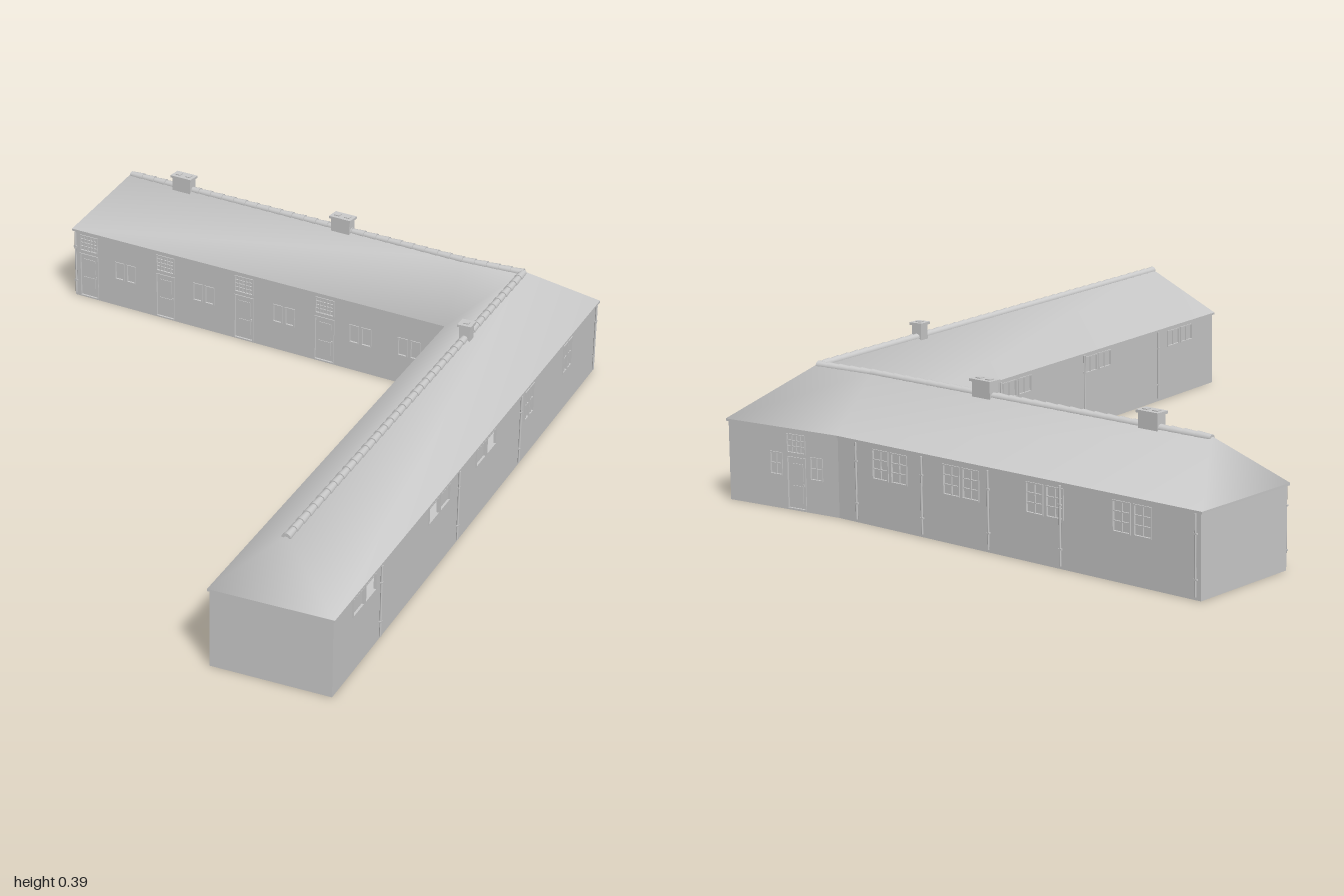
import * as THREE from 'three';

const mat = new THREE.MeshStandardMaterial({ color: 0xcccccc });
const thin = new THREE.MeshStandardMaterial({ color: 0xcccccc, side: THREE.DoubleSide });
const EAVE = 0.213, RIDGE = 0.35;

function add(parent, name, geo, x = 0, y = 0, z = 0, m = mat) {
  const mesh = new THREE.Mesh(geo, m);
  mesh.name = name;
  mesh.position.set(x, y, z);
  parent.add(mesh);
  return mesh;
}
const box = (parent, name, w, h, d, x, y, z) => add(parent, name, new THREE.BoxGeometry(w, h, d), x, y, z);

function rectPath(x0, y0, w, h, Type = THREE.Path) {
  return new Type([[x0, y0], [x0 + w, y0], [x0 + w, y0 + h], [x0, y0 + h]].map(p => new THREE.Vector2(...p)));
}

// Flat slab from plan points [x, z]
function slab(points, height) {
  const shape = new THREE.Shape(points.map(([x, z]) => new THREE.Vector2(x, -z)));
  return new THREE.ExtrudeGeometry(shape, { depth: height, bevelEnabled: false }).rotateX(-Math.PI / 2);
}

// Frame, glass and glazing bars for one opening, centred at u along the wall
function fitting(wall, { kind, u, y, w, h, cols = 1, rows = 1 }) {
  const g = new THREE.Group();
  g.name = kind;
  g.position.set(u, y, 0);
  wall.add(g);
  const t = 0.003;
  const frame = rectPath(-w / 2 - t, -t, w + 2 * t, h + 2 * t, THREE.Shape);
  frame.holes.push(rectPath(-w / 2, 0, w, h));
  add(g, 'frame', new THREE.ExtrudeGeometry(frame, { depth: 0.007, bevelEnabled: false }), 0, 0, -0.004);
  if (kind === 'openWindow') return;
  box(g, kind === 'door' ? 'doorLeaf' : 'glass', w, h, 0.002, 0, h / 2, -0.004);
  if (kind === 'door') {
    for (const s of [0.28, 0.72]) box(g, 'doorPanel', w * 0.7, h * 0.34, 0.002, 0, h * s, -0.002);
    box(g, 'handle', 0.003, 0.006, 0.005, w * 0.42, h * 0.48, 0);
    return;
  }
  for (let i = 1; i < cols; i++) box(g, 'glazingBar', 0.0025, h, 0.004, -w / 2 + w * i / cols, h / 2, -0.001);
  for (let i = 1; i < rows; i++) box(g, 'glazingBar', w, 0.0025, 0.004, 0, h * i / rows, -0.001);
}

// Wall from plan point a to b, with openings cut through and downpipes at given distances
function buildWall(parent, name, a, b, openings = [], pipes = []) {
  const dx = b[0] - a[0], dz = b[1] - a[1], len = Math.hypot(dx, dz);
  const wall = new THREE.Group();
  wall.name = name;
  wall.position.set(a[0], 0, a[1]);
  wall.rotation.y = Math.atan2(-dz, dx);
  parent.add(wall);
  const shape = rectPath(0, 0, len, EAVE, THREE.Shape);
  for (const o of openings) {
    shape.holes.push(rectPath(o.u - o.w / 2, o.y, o.w, o.h));
    fitting(wall, o);
  }
  add(wall, 'wallFace', new THREE.ShapeGeometry(shape));
  for (const u of pipes) {
    add(wall, 'downpipe', new THREE.CylinderGeometry(0.003, 0.003, 0.2, 8), u, 0.108, 0.003);
    for (const y of [0.05, 0.16]) box(wall, 'pipeBracket', 0.01, 0.004, 0.006, u, y, 0.003);
  }
}

// Overlapping half-round tiles from p to q
function ridgeTiles(parent, p, q) {
  const d = new THREE.Vector3().subVectors(q, p), len = d.length();
  const n = Math.round(len / 0.04), step = len / n;
  const row = new THREE.Group();
  row.name = 'ridgeTiles';
  row.position.copy(p);
  row.rotation.y = Math.atan2(d.x, d.z);
  parent.add(row);
  for (let i = 0; i < n; i++) {
    const geo = new THREE.CylinderGeometry(0.0125, 0.0095, step * 1.1, 8, 1, false, -Math.PI / 2, Math.PI);
    geo.rotateX(Math.PI / 2).rotateZ(Math.PI);
    add(row, 'ridgeTile', geo, 0, -0.006, (i + 0.5) * step, thin);
  }
}

function chimney(parent, x, z, angle, stacks) {
  const g = new THREE.Group();
  g.name = 'chimney';
  g.position.set(x, 0, z);
  g.rotation.y = angle;
  parent.add(g);
  const w = stacks * 0.03;
  box(g, 'stack', w, 0.06, 0.03, 0, 0.35, 0);
  box(g, 'cap', w + 0.009, 0.007, 0.039, 0, 0.3815, 0);
  for (let i = 0; i < stacks; i++) box(g, 'flue', 0.016, 0.003, 0.016, (i - (stacks - 1) / 2) * 0.032, 0.386, 0);
}

export function createModel() {
  const model = new THREE.Group();
  model.name = 'longHouse';

  // Plan corners, anticlockwise from above
  const eaves = [[-0.785, -0.66], [0.445, -0.532], [0.45, 1], [0.78, 1], [0.78, -0.87], [0.42, -0.866], [-0.75, -1]];
  const [G, F, E, D, C, B, A] = [[-0.779, -0.666], [0.452, -0.538], [0.455, 0.996], [0.775, 0.996],
    [0.775, -0.865], [0.42, -0.861], [-0.744, -0.994]];
  add(model, 'floor', slab([G, F, E, D, C, B, A], 0.003));
  add(model, 'eavesBoard', slab(eaves, 0.006), 0, EAVE - 0.003, 0);

  // Hipped roof
  const ridge = [[-0.67, -0.83], [0.43, -0.697], [0.61, -0.693], [0.61, 0.9]];
  const pos = [];
  eaves.forEach(([x, z]) => pos.push(x, EAVE + 0.003, z));
  ridge.forEach(([x, z]) => pos.push(x, RIDGE, z));
  const roof = new THREE.BufferGeometry();
  roof.setAttribute('position', new THREE.Float32BufferAttribute(pos, 3));
  roof.setIndex([0, 1, 8, 0, 8, 7, 1, 9, 8, 1, 2, 10, 1, 10, 9, 2, 3, 10, 3, 4, 9, 3, 9, 10,
    4, 5, 8, 4, 8, 9, 5, 6, 7, 5, 7, 8, 6, 0, 7]);
  roof.computeVertexNormals();
  add(model, 'roof', roof);
  const rv = ridge.map(([x, z]) => new THREE.Vector3(x, RIDGE, z));
  for (let i = 0; i < 3; i++) ridgeTiles(model, rv[i], rv[i + 1]);

  chimney(model, -0.488, -0.806, -0.12, 2);
  chimney(model, 0.045, -0.743, -0.12, 2);
  chimney(model, 0.61, -0.26, 0, 1);

  // Courtyard side of the short wing: doors with lattice lights, and window pairs
  const southU = x => (x - G[0]) * Math.hypot(F[0] - G[0], F[1] - G[1]) / (F[0] - G[0]);
  const south = [];
  for (const x of [-0.73, -0.465, -0.2, 0.065]) {
    south.push({ kind: 'door', u: southU(x), y: 0.006, w: 0.058, h: 0.132 });
    south.push({ kind: 'transomWindow', u: southU(x), y: 0.153, w: 0.056, h: 0.045, cols: 5, rows: 4 });
  }
  for (const x of [-0.603, -0.335, -0.068, 0.18, 0.335])
    for (const s of [-1, 1]) south.push({ kind: 'window', u: southU(x + s * 0.02), y: 0.089, w: 0.026, h: 0.05 });
  buildWall(model, 'courtyardWallNorth', G, F, south, [southU(-0.775)]);

  // Courtyard side of the long wing
  const west = [];
  for (const z of [-0.03, 0.37, 0.81])
    for (const s of [-1, 1]) west.push({ kind: 'window', u: z + s * 0.036 - F[1], y: 0.158, w: 0.058, h: 0.042, cols: 2 });
  buildWall(model, 'courtyardWallEast', F, E, west, [-0.11, 0.3, 0.69].map(z => z - F[1]));

  buildWall(model, 'frontEndWall', E, D);

  // Outer side of the long wing: high window pairs with one light open, and small sashes
  const east = [];
  for (const [shut, open] of [[0.85, 0.775], [0.295, 0.37], [0.045, -0.03]]) {
    east.push({ kind: 'window', u: D[1] - shut, y: 0.16, w: 0.062, h: 0.043 });
    east.push({ kind: 'openWindow', u: D[1] - open, y: 0.16, w: 0.062, h: 0.043 });
  }
  for (const z of [-0.315, -0.617])
    for (const s of [-1, 1]) east.push({ kind: 'sashWindow', u: D[1] - z + s * 0.018, y: 0.12, w: 0.027, h: 0.08, cols: 2, rows: 2 });
  buildWall(model, 'outerWallEast', D, C, east, [0.71, 0.2, -0.25, -0.85].map(z => D[1] - z));

  // Back of the corner: door between two windows
  const back = [
    { kind: 'door', u: 0.22, y: 0.006, w: 0.055, h: 0.132 },
    { kind: 'transomWindow', u: 0.22, y: 0.153, w: 0.055, h: 0.045, cols: 4, rows: 3 },
  ];
  for (const s of [-1, 1]) back.push({ kind: 'window', u: 0.22 + s * 0.065, y: 0.09, w: 0.035, h: 0.055, cols: 2, rows: 2 });
  buildWall(model, 'backCornerWall', C, B, back);

  // Back of the short wing
  const northU = x => (B[0] - x) * Math.hypot(A[0] - B[0], A[1] - B[1]) / (B[0] - A[0]);
  const north = [];
  for (const x of [0.24, 0, -0.27, -0.54])
    for (const s of [-1, 1]) north.push({ kind: 'window', u: northU(x + s * 0.032), y: 0.125, w: 0.05, h: 0.072, cols: 2, rows: 3 });
  buildWall(model, 'backWall', B, A, north, [0.355, 0.13, -0.09, -0.32, -0.73].map(northU));

  buildWall(model, 'sideEndWall', A, G);
  return model;
}
